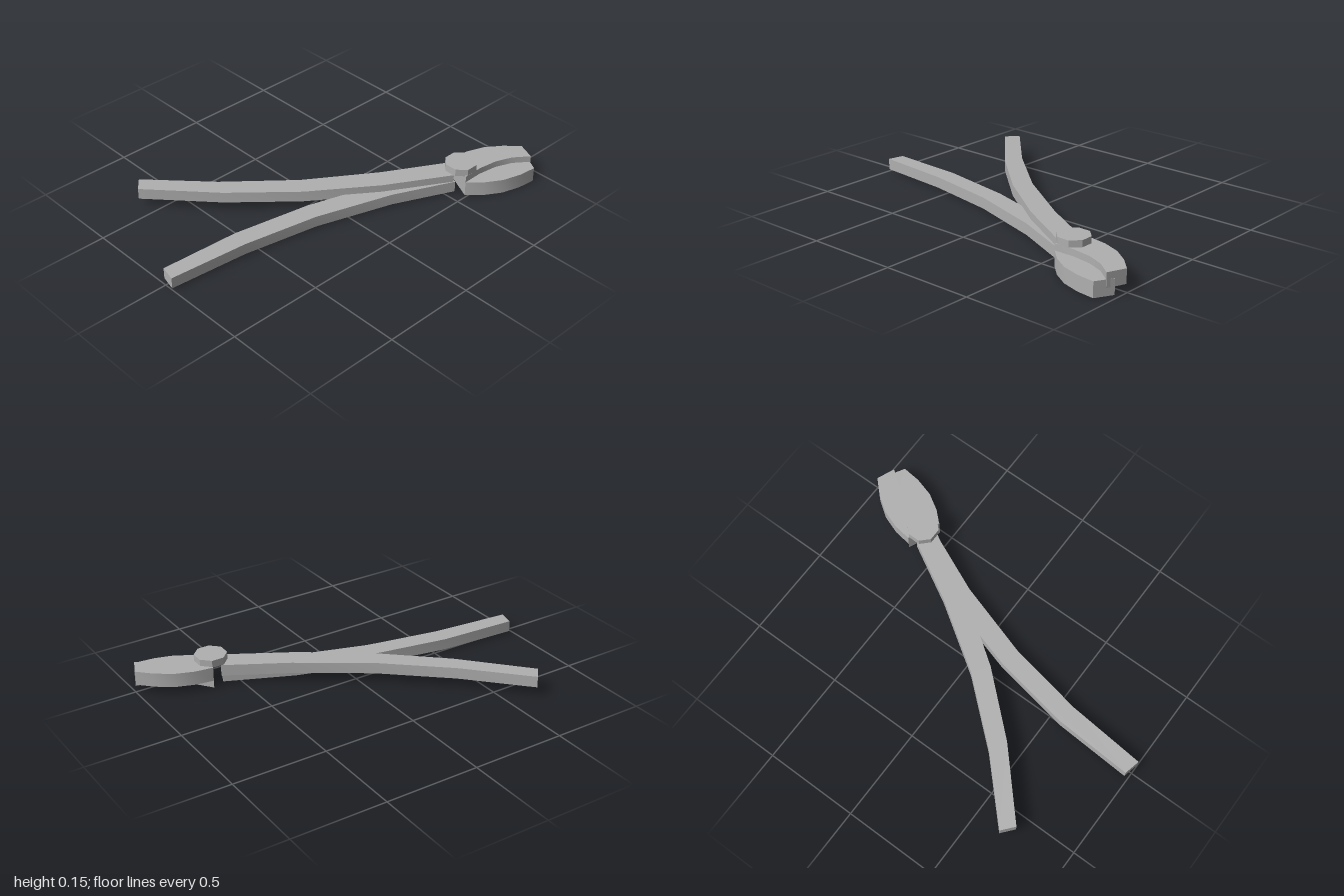
import * as THREE from 'three';
import { toCreasedNormals } from 'three/addons/utils/BufferGeometryUtils.js';

// Pivot centre and direction of the line the jaws are mirrored about, in x, z
const PIVOT = [0.612, 0.405];
const AXIS = [0.9, 0.436];

// Jaw outline as [distance along the axis, offset across it]
const JAW = [
  [-0.003, 0.092], [0.089, 0.121], [0.19, 0.131], [0.293, 0.114], [0.386, 0.081],
  [0.392, -0.021], [0.293, -0.002], [0.197, -0.01], [0.096, -0.042], [-0.003, -0.092],
];

// Handle outlines as the two long edges, from the free end to the pivot
const UPPER_HANDLE = [
  [[-0.655, -0.65], [-0.375, -0.355], [-0.06, -0.08], [0.29, 0.155], [0.6, 0.33]],
  [[-0.71, -0.585], [-0.42, -0.265], [-0.12, 0.005], [0.21, 0.24], [0.54, 0.43]],
];
const LOWER_HANDLE = [
  [[-0.98, -0.035], [-0.56, -0.01], [-0.15, 0.065], [0.242, 0.182], [0.589, 0.335]],
  [[-1, 0.05], [-0.58, 0.09], [-0.18, 0.165], [0.23, 0.295], [0.546, 0.437]],
];

// Flat plate from an x, z outline between two heights, with smoothed long sides
function plate(name, outline, bottom, top, material) {
  const shape = new THREE.Shape(outline.map(([x, z]) => new THREE.Vector2(x, z)));
  const geometry = new THREE.ExtrudeGeometry(shape, { depth: top - bottom, bevelEnabled: false });
  geometry.rotateX(Math.PI / 2);
  geometry.translate(0, top, 0);
  const mesh = new THREE.Mesh(toCreasedNormals(geometry, 0.6), material);
  mesh.name = name;
  return mesh;
}

// Jaw outline placed on the axis; side = -1 mirrors it
function jawOutline(side) {
  return JAW.map(([s, t]) => [
    PIVOT[0] + s * AXIS[0] + side * t * AXIS[1],
    PIVOT[1] + s * AXIS[1] - side * t * AXIS[0],
  ]);
}

const handleOutline = ([a, b]) => [...a, ...[...b].reverse()];

export function createModel() {
  const group = new THREE.Group();
  group.name = 'pliers';
  const steel = new THREE.MeshStandardMaterial({ color: 0xb0b0b0 });
  steel.name = 'steel grey';

  // Two crossing halves, one above the other
  group.add(
    plate('upperHandle', handleOutline(UPPER_HANDLE), 0.05, 0.11, steel),
    plate('lowerHandle', handleOutline(LOWER_HANDLE), 0.01, 0.07, steel),
    plate('upperJaw', jawOutline(1), 0.04, 0.115, steel),
    plate('lowerJaw', jawOutline(-1), 0, 0.08, steel),
  );

  // Eight-sided pivot bolt head
  const bolt = new THREE.Mesh(
    new THREE.CylinderGeometry(0.085, 0.085, 0.04, 8).rotateY(Math.PI / 8).toNonIndexed(),
    steel,
  );
  bolt.geometry.computeVertexNormals();
  bolt.name = 'pivotBolt';
  bolt.position.set(0.617, 0.13, 0.407);
  group.add(bolt);

  return group;
}
